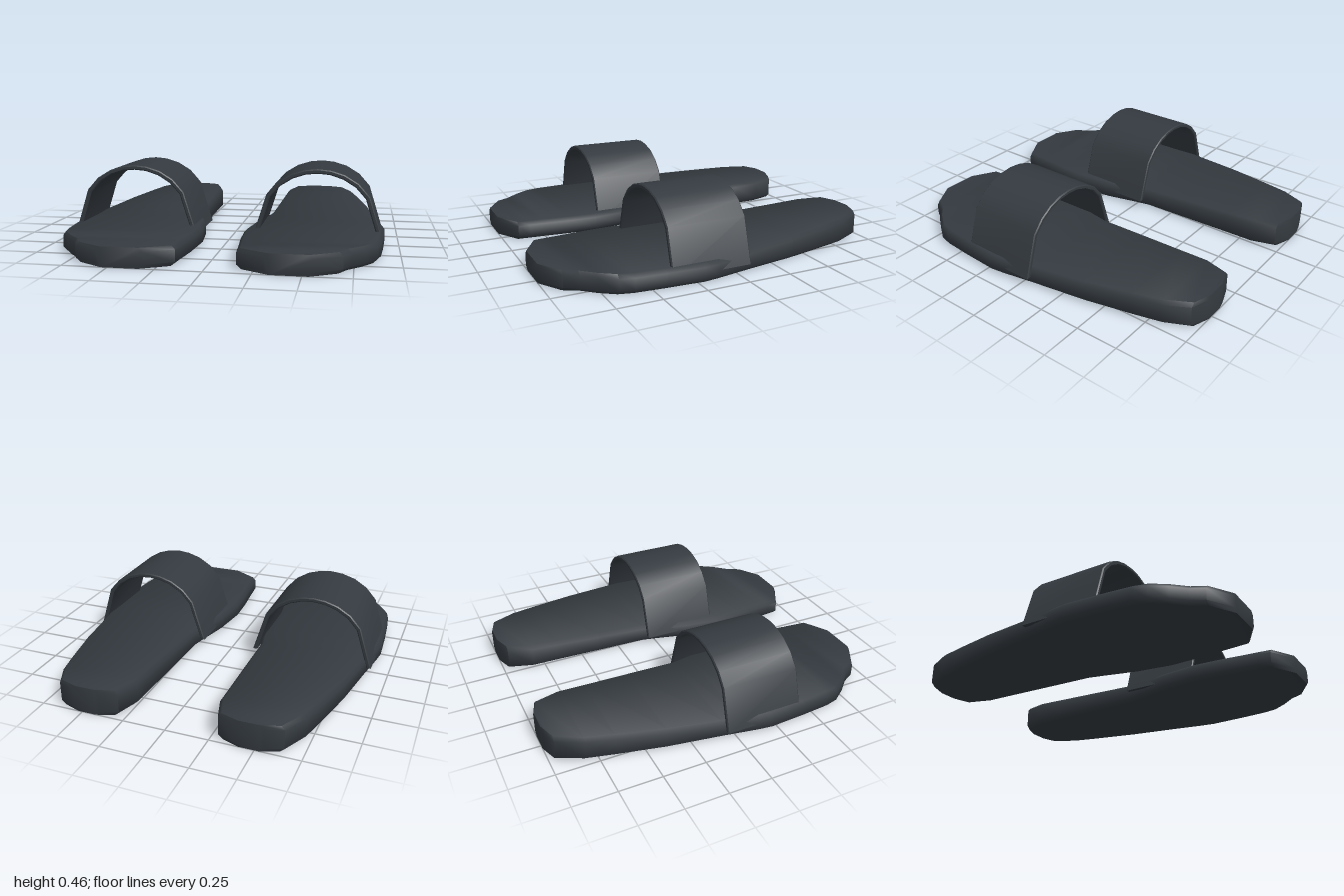
import * as THREE from 'three';
import { toCreasedNormals } from 'three/addons/utils/BufferGeometryUtils.js';

// Sole plan: z, inner x, outer x (heel to toe)
const ROWS = [
  [-1, 0.39, 0.55], [-0.965, 0.29, 0.65], [-0.82, 0.245, 0.72], [-0.66, 0.24, 0.76],
  [-0.39, 0.23, 0.82], [-0.08, 0.22, 0.87], [0.03, 0.195, 0.89], [0.13, 0.17, 0.908],
  [0.21, 0.15, 0.918], [0.43, 0.122, 0.905], [0.6, 0.13, 0.89], [0.68, 0.138, 0.87],
  [0.765, 0.147, 0.81], [0.84, 0.153, 0.74], [0.915, 0.16, 0.7], [1, 0.31, 0.56],
];

// Footbed is level at the front and climbs towards the heel
const topHeight = (z) => (z > 0.1 ? 0.11 : 0.11 + (0.1 - z) * 0.0436);

// Loft of eight-point sections with softened edges
function soleGeometry(side) {
  const n = 8, pos = [], idx = [];
  for (const [z, inner, outer] of ROWS) {
    const l = side > 0 ? inner : -outer;
    const r = side > 0 ? outer : -inner;
    const t = topHeight(z);
    const section = [
      [l + 0.025, 0], [r - 0.025, 0], [r, 0.022], [r, t - 0.022],
      [r - 0.02, t], [l + 0.02, t], [l, t - 0.022], [l, 0.022],
    ];
    for (const [x, y] of section) pos.push(x, y, z);
  }
  const last = (ROWS.length - 1) * n;
  for (let i = 0; i < last; i += n) {
    for (let j = 0; j < n; j++) {
      const k = (j + 1) % n;
      idx.push(i + j, i + k, i + n + k, i + j, i + n + k, i + n + j);
    }
  }
  // Heel and toe ends
  for (let j = 1; j < n - 1; j++) {
    idx.push(0, j + 1, j, last, last + j, last + j + 1);
  }
  const geo = new THREE.BufferGeometry();
  geo.setAttribute('position', new THREE.Float32BufferAttribute(pos, 3));
  geo.setIndex(idx);
  return toCreasedNormals(geo, 0.9);
}

// Arched band, symmetric about x = 0, extruded along the foot
function strapGeometry() {
  const half = (pts) => [...pts.map(([x, y]) => [-x, y]), ...pts.slice(0, -1).reverse()];
  const outer = half([[0.37, 0.055], [0.292, 0.305], [0.227, 0.378], [0.15, 0.425], [0.072, 0.449], [0, 0.456]]);
  const inner = half([[0.344, 0.055], [0.269, 0.292], [0.212, 0.356], [0.141, 0.4], [0.068, 0.424], [0, 0.43]]);
  const shape = new THREE.Shape([...outer, ...inner.reverse()].map(([x, y]) => new THREE.Vector2(x, y)));
  const bevel = 0.006;
  const geo = new THREE.ExtrudeGeometry(shape, {
    depth: 0.465 - 2 * bevel, bevelEnabled: true, bevelSegments: 1,
    bevelSize: bevel, bevelThickness: bevel, bevelOffset: -bevel,
  });
  geo.translate(0, 0, -0.065 + bevel);
  return toCreasedNormals(geo, 0.6);
}

export function createModel() {
  const rubber = new THREE.MeshStandardMaterial({ color: 0x343a40 });
  rubber.name = 'charcoal rubber';

  const model = new THREE.Group();
  model.name = 'slideSandals';
  const strapGeo = strapGeometry();

  for (const side of [1, -1]) {
    const sandal = new THREE.Group();
    sandal.name = side > 0 ? 'leftSandal' : 'rightSandal';

    const sole = new THREE.Mesh(soleGeometry(side), rubber);
    sole.name = 'sole';

    const strap = new THREE.Mesh(strapGeo, rubber);
    strap.name = 'strap';
    strap.position.x = side * 0.535;

    sandal.add(sole, strap);
    model.add(sandal);
  }
  return model;
}
